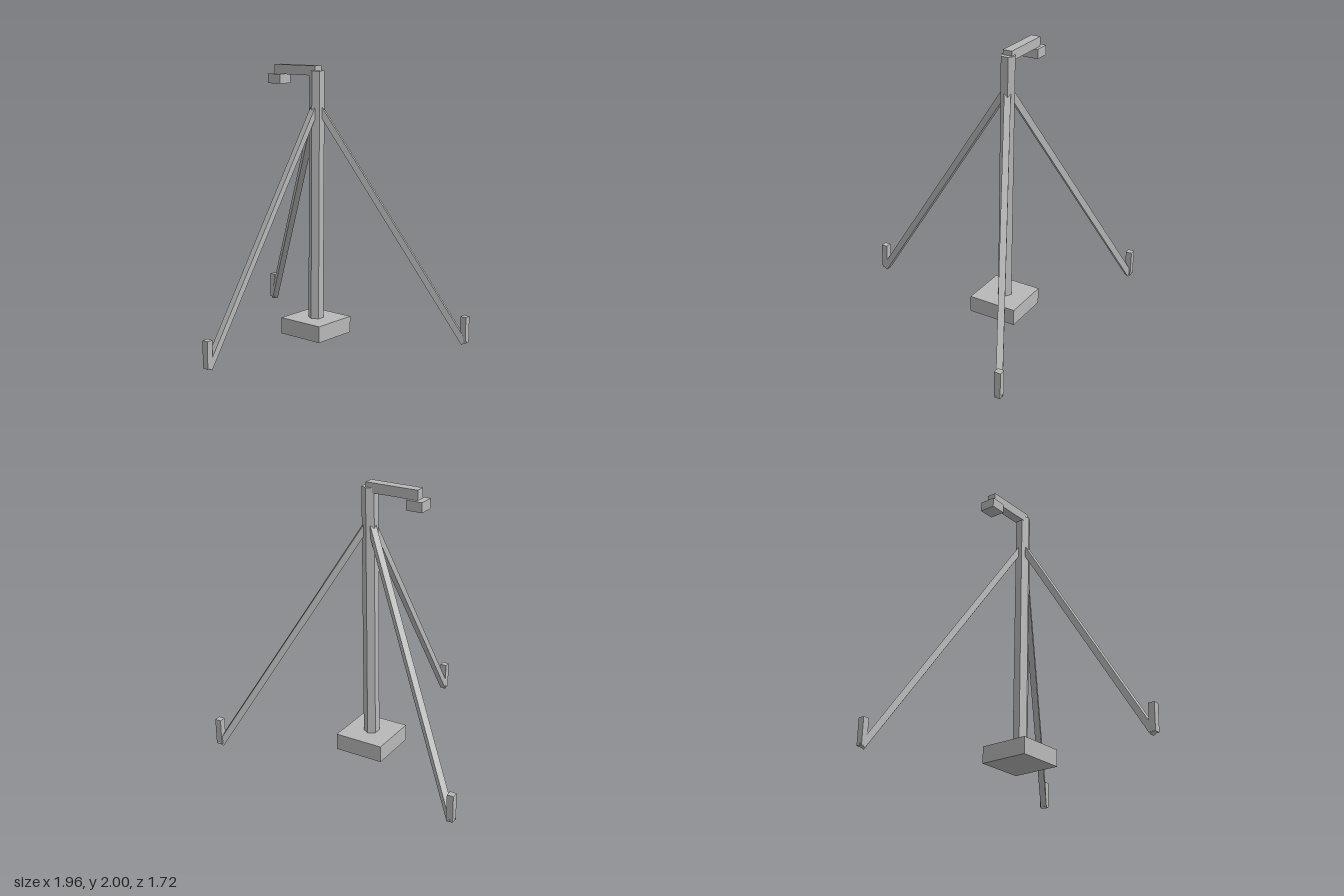
import * as THREE from 'three';

export function createModel() {
  const model = new THREE.Group();
  model.name = 'tripodStand';
  const grey = new THREE.MeshStandardMaterial({ color: 0xb8b8b8 });
  grey.name = 'light grey';

  // Axis of the central pole
  const cx = -0.017, cz = -0.26;

  function add(name, geometry, x, y, z) {
    const mesh = new THREE.Mesh(geometry, grey);
    mesh.name = name;
    mesh.position.set(x, y, z);
    model.add(mesh);
    return mesh;
  }
  const box = (name, w, h, d, x, y, z) => add(name, new THREE.BoxGeometry(w, h, d), x, y, z);

  // Base block and hexagonal pole
  box('base', 0.365, 0.122, 0.365, cx, 0.075, cz);
  const pole = new THREE.CylinderGeometry(0.056, 0.056, 1.83, 6).toNonIndexed();
  pole.computeVertexNormals();
  add('pole', pole, cx, 1.05, cz);

  // Side arm with a small head hanging from its end
  box('arm', 0.39, 0.07, 0.07, -0.2, 1.965, cz);
  box('head', 0.118, 0.07, 0.116, -0.381, 1.895, cz);

  // Three braces, each with an upright foot peg
  const apex = new THREE.Vector3(cx, 1.73, cz);
  for (let i = 0; i < 3; i++) {
    const angle = THREE.MathUtils.degToRad(-1.3 + i * 120);
    const foot = new THREE.Vector3(cx + 1.1 * Math.sin(angle), 0.012, cz + 1.1 * Math.cos(angle));
    const brace = box('brace', 0.045, 0.045, apex.distanceTo(foot), 0, 0, 0);
    brace.position.copy(apex).lerp(foot, 0.5);
    brace.lookAt(foot);
    box('footPeg', 0.047, 0.196, 0.047, foot.x, 0.112, foot.z);
  }
  return model;
}
